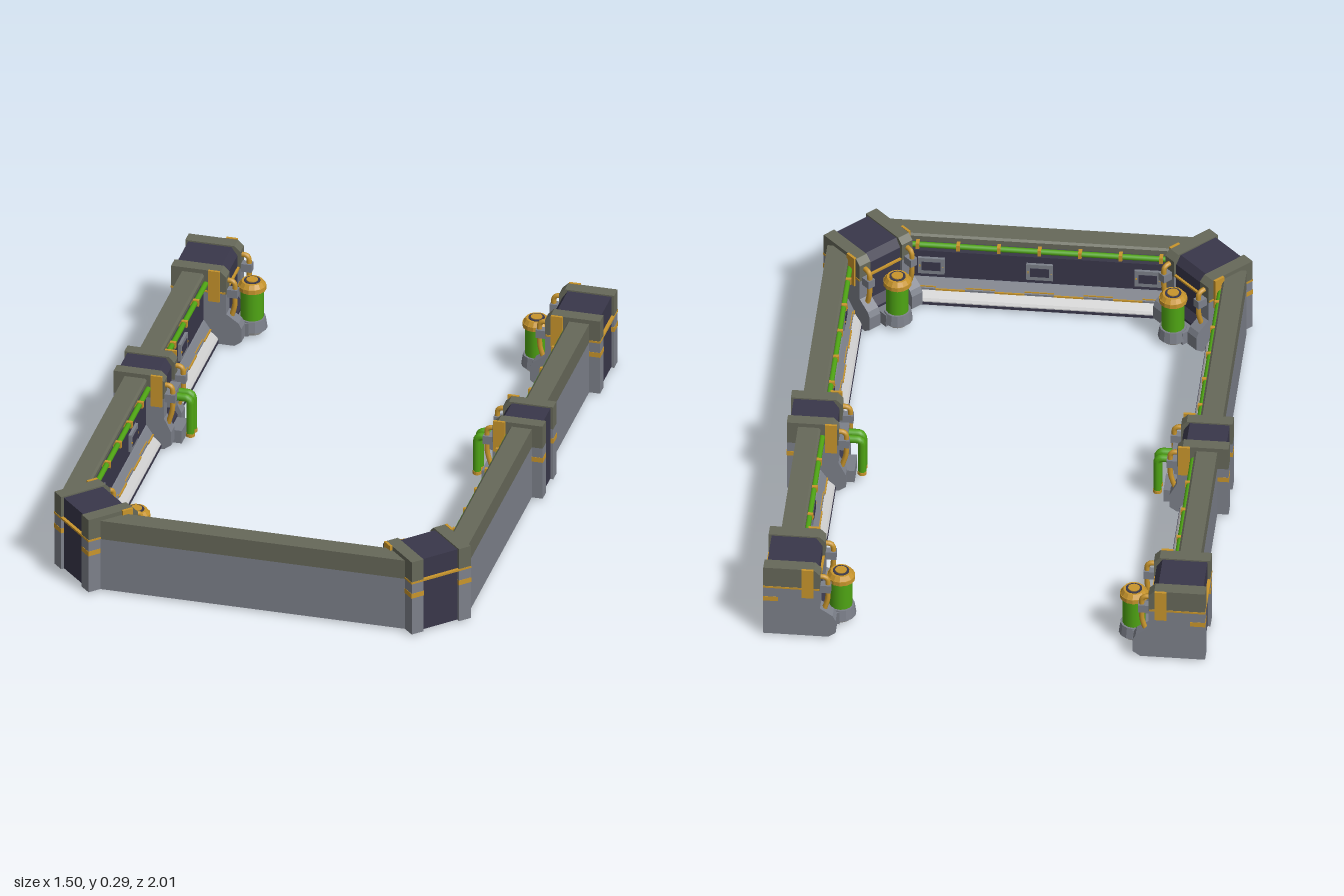
import * as THREE from 'three';

const mat = (color, flat = true) => new THREE.MeshStandardMaterial({ color, flatShading: flat });
const OLIVE = mat(0x666859), GREY = mat(0x7c808a), DARK = mat(0x39374a), GOLD = mat(0xc8952c);
const LIGHT = mat(0xc4c4c4), GREEN = mat(0x4fa514, false), BRASS = mat(0xc8952c, false);

// In every module: x = depth inward from the outer face, y = up, z = along the wall.
function add(group, name, geometry, material, x = 0, y = 0, z = 0) {
  const m = new THREE.Mesh(geometry, material);
  m.name = name;
  m.position.set(x, y, z);
  group.add(m);
  return m;
}

// Box given by its ranges
function box(group, name, material, x0, x1, y0, y1, z0, z1) {
  return add(group, name, new THREE.BoxGeometry(x1 - x0, y1 - y0, z1 - z0), material,
    (x0 + x1) / 2, (y0 + y1) / 2, (z0 + z1) / 2);
}

// Depth/height profile extruded along z
function prism(group, name, material, points, z0, z1) {
  const shape = new THREE.Shape(points.map(p => new THREE.Vector2(...p)));
  return add(group, name, new THREE.ExtrudeGeometry(shape, { depth: z1 - z0, bevelEnabled: false }), material, 0, 0, z0);
}

function cyl(group, name, material, r0, r1, y0, y1, x, z = 0) {
  return add(group, name, new THREE.CylinderGeometry(r1, r0, y1 - y0, 14), material, x, (y0 + y1) / 2, z);
}

function tube(group, name, material, points, radius) {
  const path = new THREE.CurvePath();
  const p = points.map(q => new THREE.Vector3(...q));
  // straight runs with rounded corners
  let from = p[0];
  for (let i = 1; i < p.length - 1; i++) {
    const a = p[i].clone().lerp(p[i - 1], Math.min(0.5, 0.02 / p[i].distanceTo(p[i - 1])));
    const b = p[i].clone().lerp(p[i + 1], Math.min(0.5, 0.02 / p[i].distanceTo(p[i + 1])));
    if (from.distanceTo(a) > 1e-5) path.add(new THREE.LineCurve3(from, a));
    path.add(new THREE.QuadraticBezierCurve3(a, p[i], b));
    from = b;
  }
  path.add(new THREE.LineCurve3(from, p[p.length - 1]));
  return add(group, name, new THREE.TubeGeometry(path, 28, radius, 8), material);
}

function wall(length) {
  const g = new THREE.Group(), h = length / 2;
  g.name = 'wallSection';
  box(g, 'outerSkin', GREY, 0, 0.055, 0.007, 0.2, -h, h);
  prism(g, 'topRim', OLIVE, [[0, 0.2], [0, 0.27], [0.07, 0.27], [0.077, 0.263], [0.077, 0.25], [0.055, 0.242], [0.055, 0.2]], -h, h);
  prism(g, 'innerPanel', DARK, [[0.05, 0.06], [0.05, 0.228], [0.066, 0.222], [0.074, 0.2], [0.074, 0.06]], -h, h);
  prism(g, 'baseSkirt', GREY, [[0.05, 0.007], [0.05, 0.1], [0.078, 0.09], [0.098, 0.06], [0.098, 0.007]], -h, h);
  prism(g, 'lightLip', LIGHT, [[0.094, 0.01], [0.094, 0.056], [0.12, 0.034], [0.126, 0.026], [0.126, 0.01]], -h, h);
  box(g, 'lipEdge', DARK, 0.122, 0.128, 0.012, 0.022, -h, h);

  // Pipe under the rim with clamps
  const pipe = add(g, 'rimPipe', new THREE.CylinderGeometry(0.01, 0.01, length, 8), GREEN, 0.082, 0.232, 0);
  pipe.rotation.x = Math.PI / 2;
  const n = Math.max(3, Math.round(length / 0.14));
  for (let i = 1; i < n; i++) {
    const z = -h + length * i / n;
    box(g, 'pipeClamp', GOLD, 0.066, 0.095, 0.221, 0.244, z - 0.006, z + 0.006);
  }

  // Stepped trim above the lip
  const steps = Math.round(length / 0.1);
  for (let i = 0; i < steps; i++) {
    const z0 = -h + length * i / steps, z1 = z0 + length / steps, up = i % 2 ? 0.006 : 0;
    box(g, 'trim', GOLD, 0.08, 0.102 - up, 0.055 + up, 0.061 + up, z0, z1);
  }

  // Vent boxes on the panel
  const vents = Math.max(1, Math.round(length / 0.4));
  for (let i = 0; i < vents; i++) {
    const z = -h + length * (i + 0.5) / vents;
    box(g, 'vent', GREY, 0.07, 0.084, 0.11, 0.175, z - 0.045, z + 0.045);
    box(g, 'ventSlot', DARK, 0.082, 0.086, 0.125, 0.16, z - 0.032, z + 0.032);
    for (const s of [-1, 1]) box(g, 'ventBolt', GOLD, 0.07, 0.087, 0.14, 0.147, z + s * 0.037, z + s * 0.041);
  }
  return g;
}

function pillar(width, flange, depth, foot) {
  const g = new THREE.Group(), h = width / 2;
  g.name = 'pillar';
  // Dark core with sloping inner face
  prism(g, 'core', DARK, [[0.01, 0.009], [0.01, 0.28], [depth - 0.03, 0.28], [depth - 0.01, 0.25],
    [depth - 0.01, 0.1], [depth + 0.01, 0.07], [depth + 0.01, 0.009]], -h + flange / 2, h - flange / 2);
  for (const s of [-1, 1]) {
    const z0 = s < 0 ? -h : h - flange, z1 = z0 + flange, zc = (z0 + z1) / 2;
    prism(g, 'flangeFoot', GREY, [[0, 0.007], [0, 0.2], [depth, 0.2], [depth, 0.125], [foot - 0.01, 0.095],
      [foot, 0.075], [foot, 0.025], [foot - 0.025, 0.007]], z0, z1);
    prism(g, 'flangeCap', OLIVE, [[0, 0.2], [0, 0.285], [depth - 0.02, 0.285], [depth, 0.265], [depth, 0.2]], z0, z1);
    box(g, 'stripe', GOLD, -0.001, 0.05, 0.146, 0.164, z0 - 0.001, z1 + 0.001);
    // Joint seal on the flange side
    const zs = s * (h + 0.003);
    box(g, 'jointSeal', GOLD, 0.13, 0.17, 0.17, 0.287, zs - 0.006, zs + 0.003);
    // Curved conduit on the inner edge
    tube(g, 'conduit', BRASS, [[depth - 0.02, 0.245, zc], [depth + 0.025, 0.245, zc],
      [depth + 0.025, 0.15, zc], [depth + 0.01, 0.1, zc]], 0.009);
    box(g, 'conduitBracket', GREY, depth - 0.01, depth + 0.036, 0.185, 0.215, zc - 0.014, zc + 0.014);
  }
  return g;
}

// Pillar carrying an upright canister
function canisterPillar() {
  const g = pillar(0.23, 0.046, 0.192, 0.245);
  box(g, 'seamLine', GOLD, -0.0015, 0.19, 0.201, 0.208, -0.1165, 0.1165);
  const x = 0.252;
  box(g, 'canisterBracket', GREY, 0.19, x, 0.012, 0.06, -0.05, 0.05);
  cyl(g, 'canisterBolt', GOLD, 0.018, 0.018, 0, 0.012, x);
  cyl(g, 'canisterFoot', LIGHT, 0.035, 0.046, 0.008, 0.025, x);
  cyl(g, 'canisterBase', GREY, 0.052, 0.046, 0.025, 0.065, x);
  cyl(g, 'canisterBody', GREEN, 0.039, 0.039, 0.065, 0.175, x);
  cyl(g, 'canisterCollar', GOLD, 0.048, 0.048, 0.172, 0.188, x);
  cyl(g, 'canisterCap', GOLD, 0.046, 0.036, 0.188, 0.203, x);
  cyl(g, 'canisterRing', DARK, 0.028, 0.028, 0.2, 0.205, x);
  cyl(g, 'canisterKnob', GOLD, 0.02, 0.02, 0.2, 0.208, x);
  return g;
}

// Narrow pillar with two bent pipes
function pipePillar() {
  const g = pillar(0.18, 0.042, 0.175, 0.2);
  box(g, 'pipeSocket', GREY, 0.16, 0.2, 0.14, 0.2, -0.038, 0.038);
  box(g, 'pipeDrain', GREY, 0.17, 0.225, 0.012, 0.06, -0.045, 0.045);
  for (const z of [-0.017, 0.017]) {
    tube(g, 'bentPipe', GREEN, [[0.17, 0.175, z], [0.248, 0.175, z], [0.248, 0.035, z]], 0.014);
    cyl(g, 'pipeEnd', GOLD, 0.015, 0.015, 0.03, 0.042, 0.248, z);
  }
  return g;
}

export function createModel() {
  const model = new THREE.Group();
  model.name = 'perimeterWall';
  const place = (part, name, x, z, angle) => {
    part.name = name;
    part.position.set(x, 0, z);
    part.rotation.y = angle;
    model.add(part);
  };
  for (const s of [-1, 1]) {
    const side = s > 0 ? 'left' : 'right';
    const inward = s > 0 ? Math.PI : 0;
    place(canisterPillar(), side + 'EndPillar', s * 0.748, -0.884, inward);
    place(pipePillar(), side + 'MiddlePillar', s * 0.748, -0.11, inward);
    place(canisterPillar(), side + 'CornerPillar', s * 0.645, 0.917, s > 0 ? Math.PI * 0.75 : Math.PI / 4);
    place(wall(0.6), side + 'BackWall', s * 0.71, -0.485, inward);
    place(wall(0.85), side + 'FrontSideWall', s * 0.71, 0.375, inward);
  }
  place(wall(1.1), 'frontWall', 0, 0.966, Math.PI / 2);
  return model;
}
